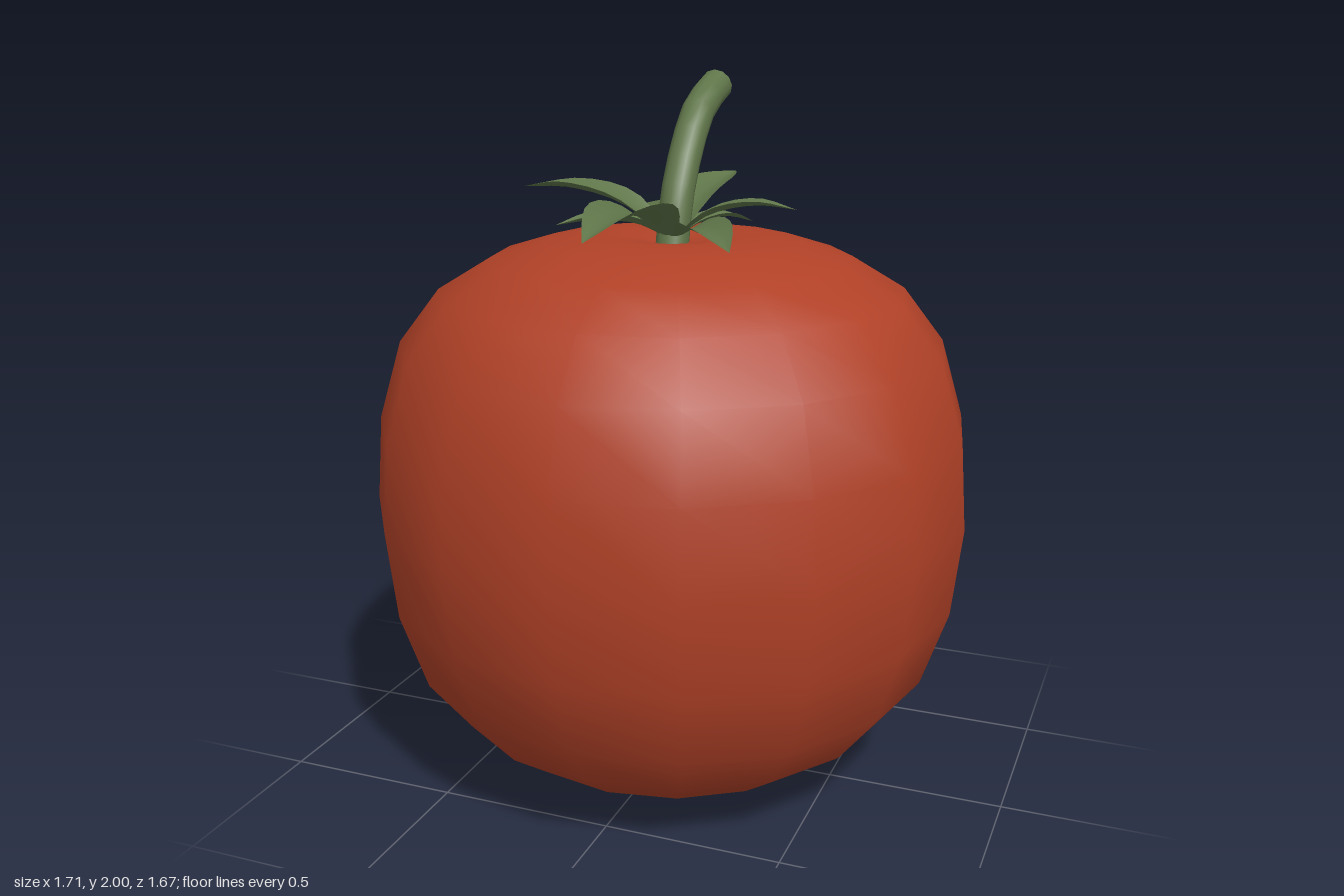
import * as THREE from 'three';

const red = new THREE.MeshStandardMaterial({ color: 0xb04127 });
red.name = 'tomato red';
const green = new THREE.MeshStandardMaterial({ color: 0x5f7549, side: THREE.DoubleSide });
green.name = 'stem green';

function addMesh(parent, name, geometry, material) {
  const mesh = new THREE.Mesh(geometry, material);
  mesh.name = name;
  parent.add(mesh);
  return mesh;
}

// Channelled leaf along +z: a spine curve with a width that swells and tapers to a point
function leafGeometry({ length, half, peak, tip }) {
  const rows = 10, cols = 4, cup = 0.4;
  const spine = new THREE.CatmullRomCurve3([
    new THREE.Vector3(0, 1.56, 0.01),
    new THREE.Vector3(0, 1.56 + (peak - 1.56) * 0.62, length * 0.3),
    new THREE.Vector3(0, peak - half * 0.25, length * 0.68),
    new THREE.Vector3(0, tip, length),
  ]);
  const pos = [], index = [];
  for (let i = 0; i <= rows; i++) {
    const t = i / rows;
    const p = spine.getPoint(t);
    const w = half * (Math.sin(Math.PI * Math.pow(t, 0.95)) * 0.8 + 0.2 * (1 - t) + 0.1 * Math.sin(Math.PI * t));
    for (let j = 0; j <= cols; j++) {
      const s = (j / cols) * 2 - 1;
      pos.push(s * w, p.y + cup * w * s * s, p.z);
    }
  }
  for (let i = 0; i < rows; i++) {
    for (let j = 0; j < cols; j++) {
      const a = i * (cols + 1) + j, b = a + cols + 1;
      index.push(a, b, a + 1, a + 1, b, b + 1);
    }
  }
  const g = new THREE.BufferGeometry();
  g.setAttribute('position', new THREE.Float32BufferAttribute(pos, 3));
  g.setIndex(index);
  g.computeVertexNormals();
  return g;
}

export function createModel() {
  const model = new THREE.Group();
  model.name = 'tomato';

  // Sixteen-sided smooth fruit, with a small dip under the stem
  const profile = [
    [0, 0], [0.1, 0.005], [0.35, 0.045], [0.5, 0.1], [0.63, 0.19], [0.75, 0.34],
    [0.825, 0.56], [0.853, 0.81], [0.835, 1.05], [0.77, 1.27], [0.655, 1.42],
    [0.505, 1.51], [0.36, 1.555], [0.22, 1.575], [0.1, 1.56], [0, 1.54],
  ].map(([r, y]) => new THREE.Vector2(r, y));
  const fruit = addMesh(model, 'fruit', new THREE.LatheGeometry(profile, 16), red);
  fruit.scale.z = 0.98;

  // Stem bending backward
  const path = new THREE.CatmullRomCurve3([
    [1.53, 0.0], [1.66, -0.035], [1.79, -0.11], [1.9, -0.215], [1.958, -0.36],
  ].map(([y, z]) => new THREE.Vector3(0, y, z)));
  const stem = new THREE.Group();
  stem.name = 'stem';
  model.add(stem);
  addMesh(stem, 'stemTube', new THREE.TubeGeometry(path, 7, 0.047, 12), green);
  const end = path.getPoint(1);
  const cap = addMesh(stem, 'stemEnd', new THREE.CircleGeometry(0.047, 12), green);
  cap.position.copy(end);
  cap.lookAt(end.clone().add(path.getTangent(1)));

  // Crown of leaves: tip x, tip z, half width, peak height, tip height
  const leaves = new THREE.Group();
  leaves.name = 'leaves';
  model.add(leaves);
  [
    [0.005, 0.61, 0.09, 1.69, 1.635],
    [0.28, 0.32, 0.075, 1.63, 1.585],
    [0.345, -0.045, 0.045, 1.67, 1.65],
    [0.17, -0.2, 0.04, 1.62, 1.59],
    [0.01, -0.51, 0.07, 1.695, 1.695],
    [-0.21, -0.3, 0.05, 1.63, 1.61],
    [-0.47, -0.04, 0.065, 1.7, 1.68],
    [-0.275, 0.17, 0.055, 1.63, 1.605],
  ].forEach(([x, z, half, peak, tip], i) => {
    const geometry = leafGeometry({ length: Math.hypot(x, z), half, peak, tip });
    addMesh(leaves, 'leaf' + (i + 1), geometry, green).rotation.y = Math.atan2(x, z);
  });

  return model;
}
